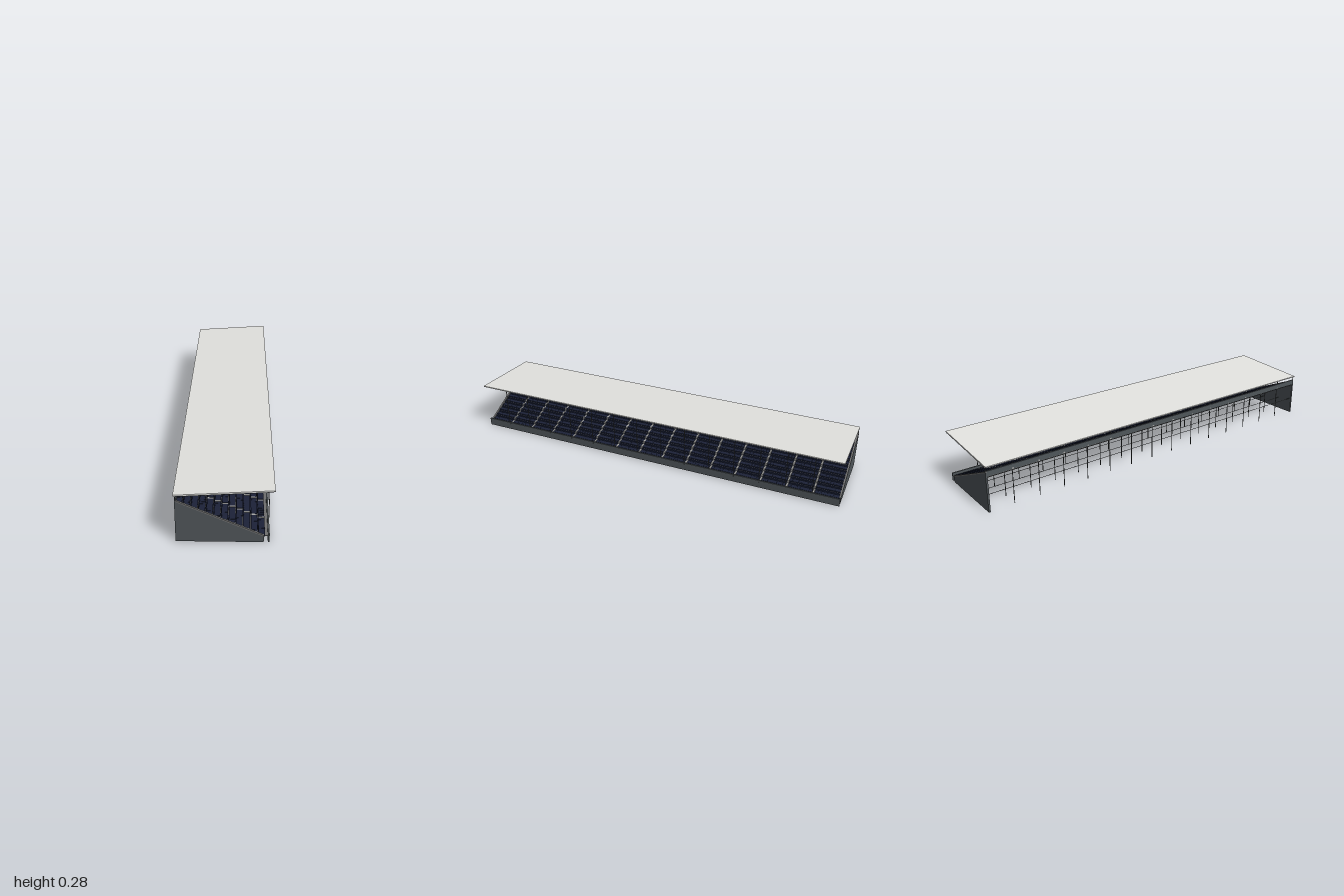
import * as THREE from 'three';
import { mergeGeometries } from 'three/addons/utils/BufferGeometryUtils.js';

const mat = (name, color) => Object.assign(new THREE.MeshStandardMaterial({ color }), { name });

const LENGTH = 2.21, BAYS = 15, BAY = LENGTH / BAYS, ROWS = 12;
const FRONT = 0.19, BACK = -0.225;
const ROW_DEPTH = (FRONT - BACK) / ROWS, ROW_RISE = 0.0152;
const treadY = (row) => 0.03 + row * ROW_RISE;
// height of the underside of the terrace at a given depth
const rakeY = (z) => 0.011 + ((FRONT - z) / ROW_DEPTH) * ROW_RISE;
// height of the roof underside, rising toward the front
const roofY = (z) => 0.261 + z * 0.064;

const box = (w, h, d, x, y, z) => new THREE.BoxGeometry(w, h, d).translate(x, y, z);

// extrudes a (z, y) profile along x, starting at x0
function extrudeAlongX(points, width, x0) {
  const shape = new THREE.Shape(points.map(([z, y]) => new THREE.Vector2(z, y)));
  return new THREE.ExtrudeGeometry(shape, { depth: width, bevelEnabled: false })
    .rotateY(-Math.PI / 2).translate(x0 + width, 0, 0);
}

export function createModel() {
  const concrete = mat('concrete', 0x50565a);
  const terraceGrey = mat('terrace grey', 0x707070);
  const aisleGrey = mat('aisle grey', 0xa8a8a6);
  const seatNavy = mat('seat navy', 0x1c2238);
  const steel = mat('steel', 0x505355);
  const roofGrey = mat('roof light grey', 0xe3e3e0);

  const model = new THREE.Group();
  model.name = 'grandstand';
  const stand = new THREE.Group();
  stand.name = 'stand';
  stand.rotation.y = 0.879;
  model.add(stand);
  const add = (name, geometries, material) => {
    const list = [].concat(geometries);
    const mesh = new THREE.Mesh(list.length > 1 ? mergeGeometries(list) : list[0], material);
    mesh.name = name;
    stand.add(mesh);
  };

  // stepped terrace with a sloping underside, thin at the front
  const profile = [];
  for (let i = 0; i < ROWS; i++) {
    const z = FRONT - i * ROW_DEPTH;
    profile.push([z, treadY(i)], [z - ROW_DEPTH, treadY(i)]);
  }
  const secondRow = FRONT - ROW_DEPTH;
  profile.push([BACK, rakeY(BACK)], [secondRow, rakeY(secondRow)], [FRONT, 0.025]);
  add('terrace', extrudeAlongX(profile, LENGTH - 0.02, -LENGTH / 2 + 0.01), terraceGrey);

  // front fascia, standing clear of the end walls, and back parapet
  add('frontFascia', box(LENGTH, 0.045, 0.008, 0, 0.0225, 0.207), concrete);
  add('frontWalkway', box(LENGTH - 0.02, 0.004, 0.02, 0, 0.028, 0.195), terraceGrey);
  add('backParapet', box(LENGTH, 0.032, 0.008, 0, 0.209, BACK + 0.004), concrete);

  // end walls following the rake, with a lighter coping
  const wall = [[0.184, 0], [0.184, 0.031], [BACK, 0.218], [BACK, 0]];
  const coping = [[0.184, 0.031], [0.184, 0.038], [BACK, 0.225], [BACK, 0.218]];
  const bothEnds = (points) => [-LENGTH / 2, LENGTH / 2 - 0.01].map((x) => extrudeAlongX(points, 0.01, x));
  add('endWalls', bothEnds(wall), concrete);
  add('endCopings', bothEnds(coping), terraceGrey);

  // seats: a pad and a backrest, eight to each bay and row
  const seats = [], PER_BAY = 8, AISLE = 0.012;
  const pitch = (BAY - AISLE) / PER_BAY;
  for (let b = 0; b < BAYS; b++) {
    for (let r = 0; r < ROWS; r++) {
      const z = FRONT - (r + 0.5) * ROW_DEPTH, y = treadY(r);
      for (let s = 0; s < PER_BAY; s++) {
        const x = -LENGTH / 2 + b * BAY + AISLE / 2 + (s + 0.5) * pitch;
        seats.push(box(pitch * 0.97, 0.006, 0.032, x, y + 0.004, z + 0.001));
        seats.push(box(pitch * 0.97, 0.015, 0.005, x, y + 0.0085, z - 0.0135));
      }
    }
  }
  add('seats', seats, seatNavy);

  // light stair treads in the aisles between bays
  const treads = [];
  for (let b = 1; b < BAYS; b++) {
    for (let r = 0; r < ROWS; r++) {
      treads.push(box(0.009, 0.008, ROW_DEPTH, -LENGTH / 2 + b * BAY,
        treadY(r) + 0.003, FRONT - (r + 0.5) * ROW_DEPTH));
    }
  }
  add('aisleStairs', treads, aisleGrey);

  // frame under the terrace: rows of columns with rails
  const frame = [];
  for (const z of [-0.215, -0.12, 0.01, 0.14]) {
    const top = rakeY(z);
    for (let b = 1; b < BAYS; b++) {
      frame.push(box(0.003, top, 0.003, -LENGTH / 2 + b * BAY, top / 2, z));
    }
    frame.push(box(LENGTH - 0.02, 0.003, 0.003, 0, top - 0.0015, z));
    if (top > 0.08) frame.push(box(LENGTH - 0.02, 0.002, 0.002, 0, top / 2, z));
  }
  add('underFrame', frame, steel);

  // slender roof posts at the front and back
  const posts = [];
  for (let b = 0; b <= BAYS; b++) {
    const x = (b / BAYS - 0.5) * (LENGTH - 0.006);
    const span = (z, y0) => box(0.003, roofY(z) - y0, 0.003, x, (roofY(z) + y0) / 2, z);
    posts.push(span(-0.222, 0.2));
    if (b > 0 && b < BAYS) posts.push(span(0.2125, 0.035));
  }
  add('roofPosts', posts, steel);

  // roof sheet with thin rafters and purlins below
  const slope = -Math.atan(0.064);
  const tilted = (g, lift) => g.rotateX(slope).translate(0, 0.261 + lift, 0);
  add('roofSheet', tilted(box(LENGTH, 0.006, 0.464, 0, 0, 0), 0.003), roofGrey);
  const ribs = [];
  for (let b = 0; b <= BAYS; b++) {
    ribs.push(tilted(box(0.003, 0.004, 0.45, (b / BAYS - 0.5) * (LENGTH - 0.006), 0, 0), -0.002));
  }
  for (const z of [-0.2, -0.07, 0.07, 0.2]) {
    ribs.push(tilted(box(LENGTH - 0.003, 0.003, 0.003, 0, 0, z), -0.0015));
  }
  add('roofRibs', ribs, steel);

  return model;
}
